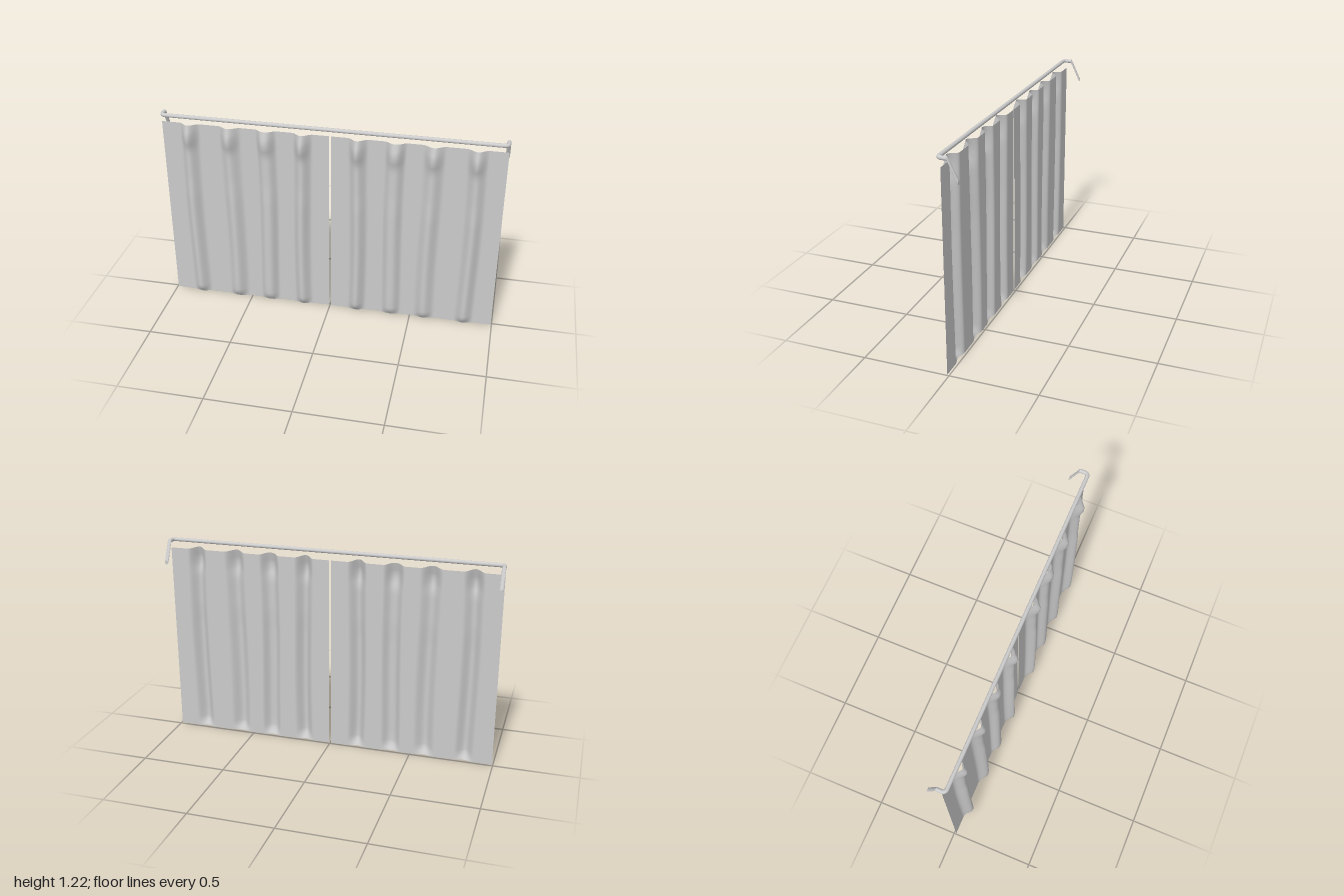
import * as THREE from 'three';

const grey = new THREE.MeshStandardMaterial({ color: 0xcccccc });
const cloth = new THREE.MeshStandardMaterial({ color: 0xcccccc, side: THREE.DoubleSide });

const TOP = 1.165, BACK = 0.012;
const ROD_Y = 1.213, ROD_R = 0.0115;

// Pleats: distance from the middle, half width, strength, flatness of the crest
const FOLDS = [
  { x: 0.165, w: 0.06, a: 1.0, flat: 1.0 },
  { x: 0.375, w: 0.062, a: 0.85, flat: 1.35 },
  { x: 0.585, w: 0.068, a: 0.92, flat: 1.0 },
  { x: 0.83, w: 0.062, a: 0.95, flat: 1.0 },
];

// Height (y) against pleat depth
const DEPTH = [
  [0, 0.014], [0.04, 0.044], [0.1, 0.047], [0.7, 0.048], [0.82, 0.043],
  [1.0, 0.044], [1.03, 0.05], [1.07, 0.064], [1.11, 0.066], [1.14, 0.056], [1.17, 0.044],
];

function depthAt(y) {
  let i = 0;
  while (i < DEPTH.length - 2 && y > DEPTH[i + 1][0]) i++;
  const [y0, d0] = DEPTH[i], [y1, d1] = DEPTH[i + 1];
  return THREE.MathUtils.lerp(d0, d1, THREE.MathUtils.clamp((y - y0) / (y1 - y0), 0, 1));
}

// One pleated sheet; side is +1 or -1
function curtain(side) {
  const geo = new THREE.PlaneGeometry(0.989, TOP, 130, 60);
  geo.translate(side * 0.5005, TOP / 2, 0);
  const p = geo.attributes.position;
  for (let i = 0; i < p.count; i++) {
    const x = Math.abs(p.getX(i)), y = p.getY(i);
    let bump = 0;
    FOLDS.forEach((f, k) => {
      const centre = f.x + 0.005 * Math.sin(y * 4 + k * 1.7);
      const t = Math.abs(x - centre) / f.w;
      if (t < 1) bump += f.a * Math.pow(Math.cos(Math.pow(t, f.flat) * Math.PI / 2), 2);
    });
    p.setZ(i, BACK + bump * depthAt(y));
    // The hem dips and the heading rises a little at each pleat
    p.setY(i, y + bump * (y > TOP - 0.01 ? 0.007 : 0));
  }
  geo.computeVertexNormals();
  const mesh = new THREE.Mesh(geo, cloth);
  mesh.name = side > 0 ? 'leftCurtain' : 'rightCurtain';
  return mesh;
}

// Rail with rounded corners turning back at both ends
function rail() {
  const X = 0.9875, Z = 0.03, r = 0.024;
  const v = (x, z) => new THREE.Vector3(x, ROD_Y, z);
  const path = new THREE.CurvePath();
  path.add(new THREE.LineCurve3(v(-X, -0.022), v(-X, Z - r)));
  path.add(new THREE.QuadraticBezierCurve3(v(-X, Z - r), v(-X, Z), v(-X + r, Z)));
  path.add(new THREE.LineCurve3(v(-X + r, Z), v(X - r, Z)));
  path.add(new THREE.QuadraticBezierCurve3(v(X - r, Z), v(X, Z), v(X, Z - r)));
  path.add(new THREE.LineCurve3(v(X, Z - r), v(X, -0.022)));
  const mesh = new THREE.Mesh(new THREE.TubeGeometry(path, 400, ROD_R, 16), grey);
  mesh.name = 'rail';
  return mesh;
}

// Slanted wall hook: a bar along z, sheared downward towards the back
function hook(side) {
  const z0 = -0.022, z1 = -0.079, drop = 0.117;
  const geo = new THREE.CylinderGeometry(ROD_R, ROD_R, z0 - z1, 16);
  geo.rotateX(Math.PI / 2);
  geo.translate(side * 0.9875, ROD_Y, (z0 + z1) / 2);
  const p = geo.attributes.position;
  for (let i = 0; i < p.count; i++) {
    p.setY(i, p.getY(i) - drop * (z0 - p.getZ(i)) / (z0 - z1));
  }
  geo.computeVertexNormals();
  const mesh = new THREE.Mesh(geo, grey);
  mesh.name = side > 0 ? 'leftHook' : 'rightHook';
  return mesh;
}

export function createModel() {
  const group = new THREE.Group();
  group.name = 'curtains';
  group.add(rail());
  for (const side of [-1, 1]) group.add(curtain(side), hook(side));
  return group;
}
